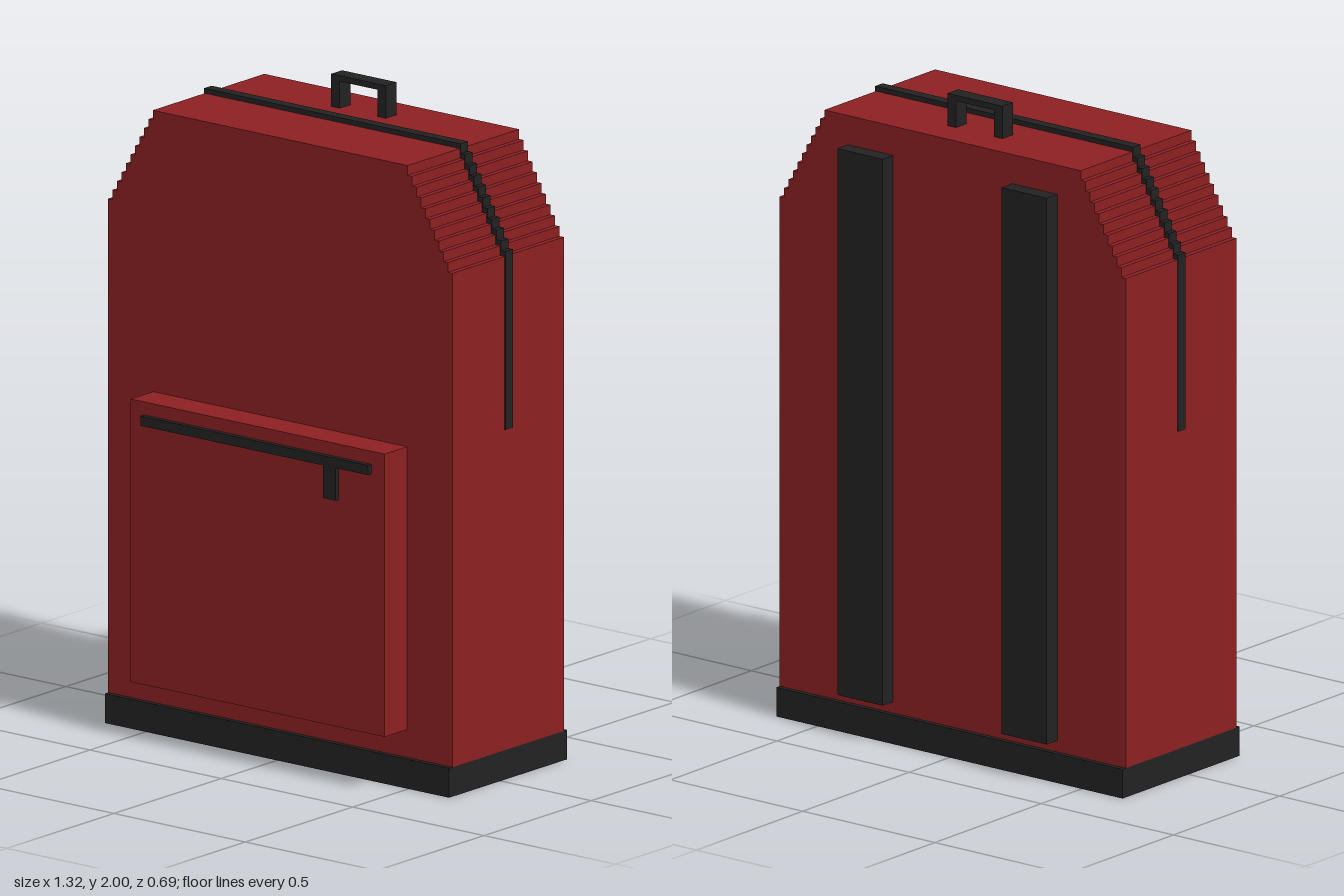
import * as THREE from 'three';

const red = new THREE.MeshStandardMaterial({ color: 0x8c2022 });
red.name = 'red fabric';
const black = new THREE.MeshStandardMaterial({ color: 0x222222 });
black.name = 'black trim';

const STEPS = 10, RISE = 0.03, TREAD = 0.017, HALF = 0.655, SHOULDER = 1.6;

// Outline from a bottom edge up the sides, with stepped shoulders
function steppedShape(bottom, lift, grow) {
  const right = [[HALF + grow, bottom], [HALF + grow, SHOULDER + lift]];
  for (let i = 1; i <= STEPS; i++) {
    const x = HALF - TREAD * i + grow;
    right.push([x, SHOULDER + RISE * (i - 1) + lift], [x, SHOULDER + RISE * i + lift]);
  }
  const left = right.map(([x, y]) => [-x, y]).reverse();
  return new THREE.Shape([...right, ...left].map(([x, y]) => new THREE.Vector2(x, y)));
}

export function createModel() {
  const model = new THREE.Group();
  model.name = 'backpack';

  const add = (name, geometry, material, parent = model) => {
    const mesh = new THREE.Mesh(geometry, material);
    mesh.name = name;
    parent.add(mesh);
    return mesh;
  };
  // Box given by its limits along each axis
  const box = (name, material, [x0, x1], [y0, y1], [z0, z1], parent) => {
    const geometry = new THREE.BoxGeometry(x1 - x0, y1 - y0, z1 - z0);
    geometry.translate((x0 + x1) / 2, (y0 + y1) / 2, (z0 + z1) / 2);
    return add(name, geometry, material, parent);
  };
  const slab = (name, material, shape, z0, z1) => {
    const geometry = new THREE.ExtrudeGeometry(shape, { depth: z1 - z0, bevelEnabled: false });
    geometry.translate(0, 0, z0);
    return add(name, geometry, material);
  };

  // Base and main compartment
  box('base', black, [-HALF, HALF], [0, 0.09], [-0.31, 0.24]);
  slab('body', red, steppedShape(0.09, 0, 0), -0.295, 0.225);

  // Main zipper running over the top and partway down both sides
  slab('mainZipper', black, steppedShape(1.07, 0.015, 0.003), -0.053, -0.018);

  // Front pocket with its zipper and pull
  box('frontPocket', red, [-0.483, 0.483], [0.175, 1.04], [0.225, 0.33]);
  box('pocketZipper', black, [-0.433, 0.433], [0.97, 1.0], [0.33, 0.345]);
  box('zipperPull', black, [0.26, 0.308], [0.87, 0.97], [0.33, 0.345]);

  // Carry handle
  const handle = new THREE.Group();
  handle.name = 'carryHandle';
  model.add(handle);
  box('handleBar', black, [-0.104, 0.104], [1.982, 2.0], [-0.19, -0.14], handle);
  for (const s of [-1, 1]) {
    const side = s > 0 ? 'left' : 'right';
    const span = (a, b) => (s > 0 ? [a, b] : [-b, -a]);
    box(`${side}HandlePost`, black, span(0.072, 0.104), [1.9, 1.982], [-0.19, -0.14], handle);
    // Shoulder straps on the back
    box(`${side}ShoulderStrap`, black, span(0.225, 0.396), [0.125, 1.81], [-0.345, -0.295]);
  }
  return model;
}
